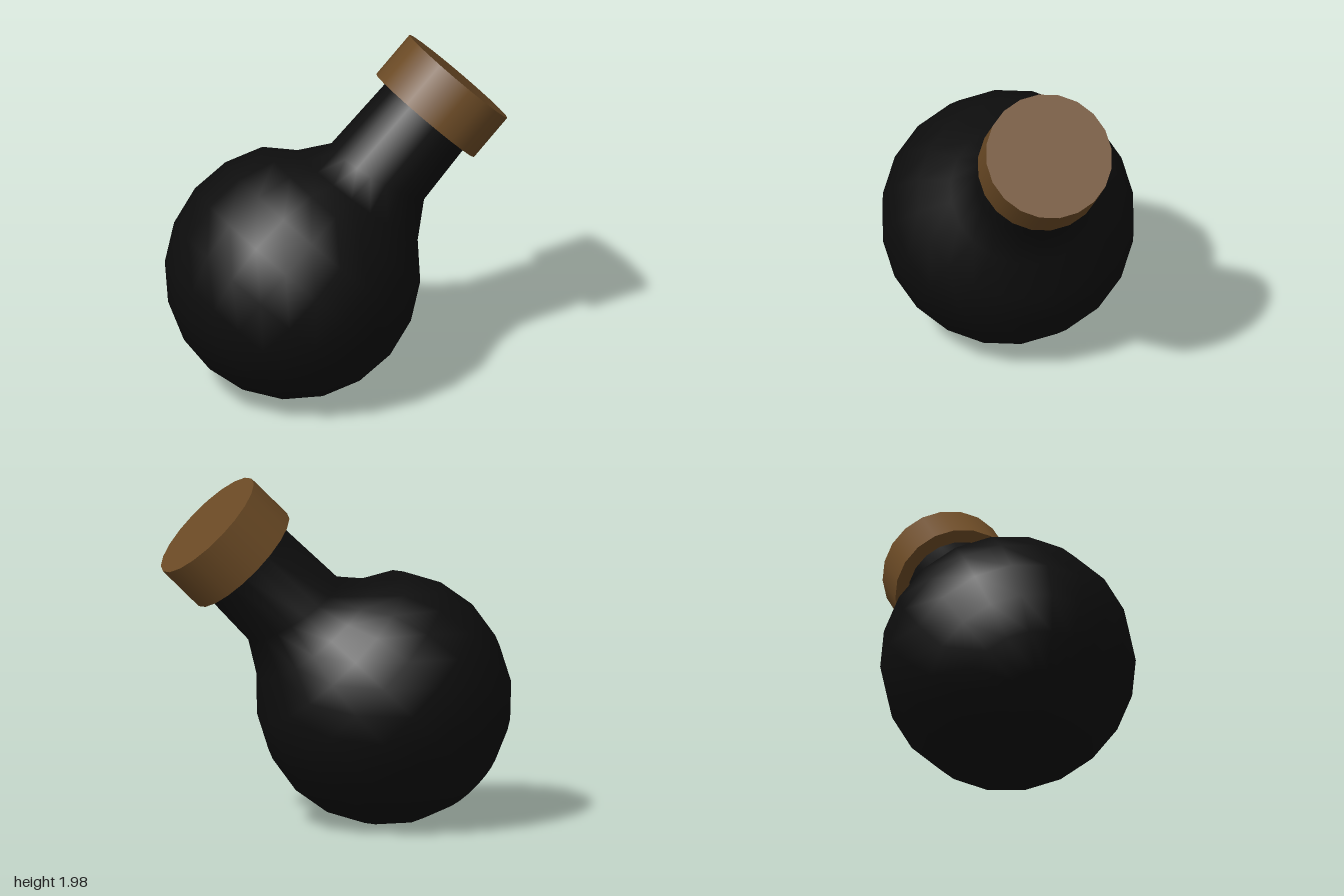
import * as THREE from 'three';

const SIDES = 20;
const RADIUS = 0.72;

export function createModel() {
  const model = new THREE.Group();
  model.name = 'flask';

  // Everything shares one axis, leaning 45 degrees toward +x from the bulb centre
  const tilted = new THREE.Group();
  tilted.name = 'tiltedFlask';
  tilted.position.set(-0.28, 0.71, 0);
  tilted.rotation.z = -Math.PI / 4;
  model.add(tilted);

  // Bulb rings every 18 degrees, then the shoulder and the neck
  const profile = [];
  for (let i = 0; i <= 7; i++) {
    const a = (i * Math.PI) / 10;
    profile.push(new THREE.Vector2(i ? RADIUS * Math.sin(a) : 0, -RADIUS * Math.cos(a)));
  }
  profile.push(
    new THREE.Vector2(0.42, 0.565),
    new THREE.Vector2(0.3, 0.74),
    new THREE.Vector2(0.285, 1.2)
  );
  const bodyGeometry = new THREE.LatheGeometry(profile, SIDES);

  // The shoulder rings slant slightly, so the neck base is higher on its lower side
  const pos = bodyGeometry.attributes.position;
  for (let i = 0; i < pos.count; i++) {
    const y = pos.getY(i);
    const slant = y > 0.7 && y < 0.8 ? 0.2 : y > 0.5 && y < 0.6 ? 0.08 : 0;
    pos.setY(i, y + slant * pos.getX(i));
  }

  const body = new THREE.Mesh(
    bodyGeometry,
    new THREE.MeshStandardMaterial({ color: 0x0d0d0d, side: THREE.DoubleSide })
  );
  body.name = 'bulbAndNeck';
  tilted.add(body);

  // Stopper
  const stopper = new THREE.Mesh(
    new THREE.CylinderGeometry(0.36, 0.36, 0.29, SIDES),
    new THREE.MeshStandardMaterial({ color: 0x6b4a25 })
  );
  stopper.name = 'stopper';
  stopper.position.y = 1.295;
  tilted.add(stopper);

  return model;
}
